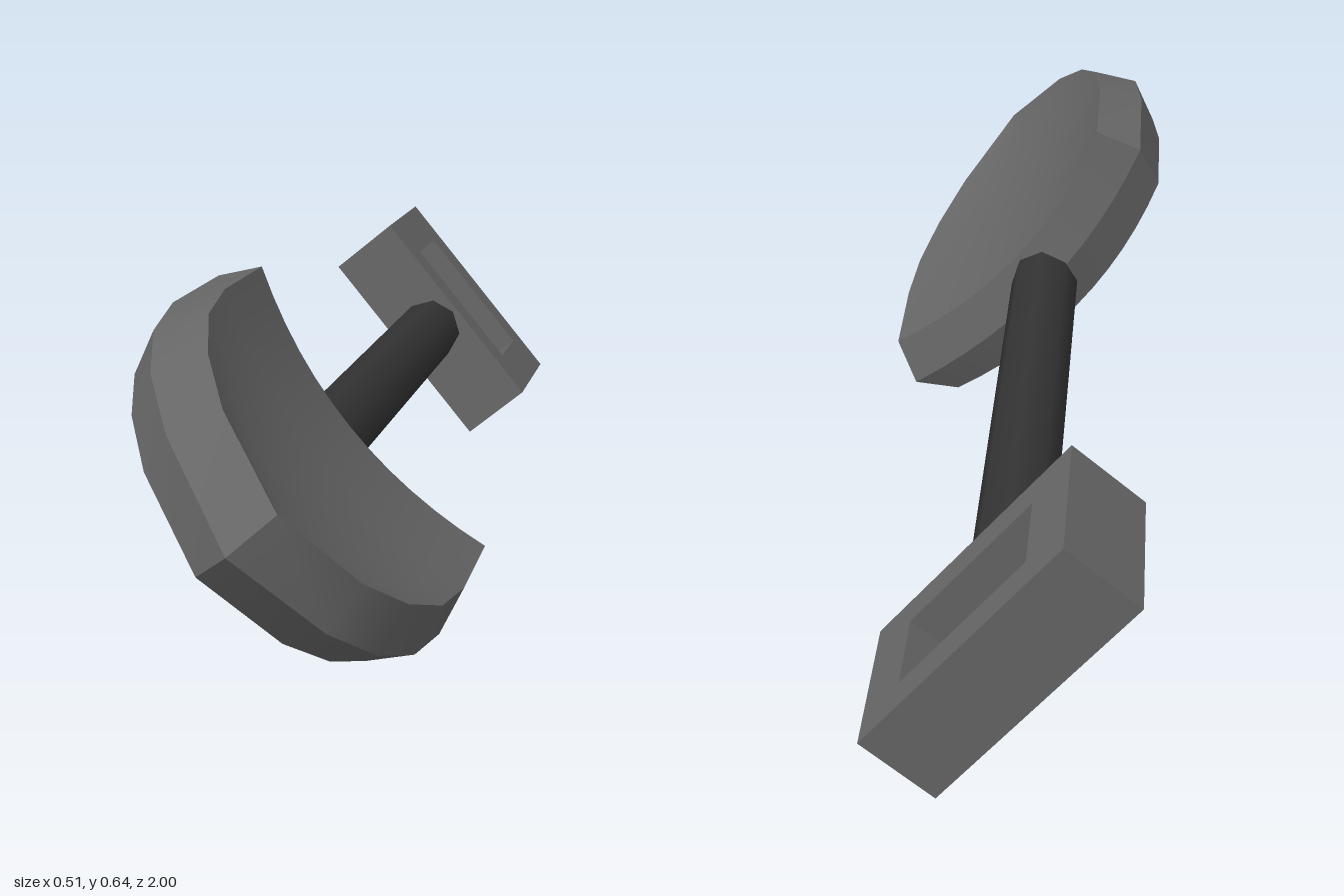
import * as THREE from 'three';
import { mergeGeometries } from 'three/addons/utils/BufferGeometryUtils.js';

// Smooth patch over a grid of points; it faces (row direction) x (column direction).
function patch(rows) {
  const n = rows[0].length, index = [];
  for (let i = 0; i < rows.length - 1; i++) {
    for (let j = 0; j < n - 1; j++) {
      const a = i * n + j, c = a + n;
      index.push(a, c, a + 1, a + 1, c, c + 1);
    }
  }
  const geometry = new THREE.BufferGeometry();
  geometry.setAttribute('position', new THREE.Float32BufferAttribute(rows.flat(2), 3));
  geometry.setIndex(index);
  geometry.computeVertexNormals();
  return geometry;
}

// Dished blade: face and back outlines are inset from a wider middle crease.
function bladeGeometry() {
  const inner = [[0.30, 0.30], [0.52, 0.302], [0.65, 0.284], [0.76, 0.236], [0.855, 0.16], [0.945, 0]];
  const outer = [[0.275, 0.335], [0.53, 0.337], [0.67, 0.317], [0.79, 0.266], [0.89, 0.182], [1.0, 0]];
  const across = Array.from({ length: 13 }, (_, i) => i / 6 - 1);

  // Points across the blade, sagging in the middle; the sag fades towards the tip.
  const section = (outline, height) => outline.map(([z, w], i) => {
    const sag = 0.055 * (1 - (i / (outline.length - 1)) ** 2);
    return across.map(s => [s * w, 0.05 + 0.01 * (z - 0.3) + height - sag * (1 - s * s), z]);
  });
  const face = section(inner, 0.078);
  const middle = section(outer, 0);
  const back = section(inner, -0.078);

  const last = across.length - 1;
  const flip = row => [...row].reverse();
  const strip = (a, b, j) => patch(a.map((row, i) => [row[j], b[i][j]]));
  return mergeGeometries([
    patch(face),
    patch(back.map(flip)),
    strip(face, middle, last), strip(middle, back, last), // left rim
    strip(back, middle, 0), strip(middle, face, 0), // right rim
    patch([flip(face[0]), flip(middle[0])]), // rear edge
    patch([flip(middle[0]), flip(back[0])])
  ]);
}

// Rectangular grip frame with a hand hole through its thickness.
function gripGeometry() {
  const thickness = 0.147;
  const corners = (w, l) => [[-w, -l], [w, -l], [w, l], [-w, l]].map(p => new THREE.Vector2(...p));
  const shape = new THREE.Shape(corners(0.228, 0.139));
  shape.holes.push(new THREE.Path(corners(0.143, 0.077).reverse()));
  return new THREE.ExtrudeGeometry(shape, { depth: thickness, bevelEnabled: false })
    .translate(0, 0, -thickness / 2)
    .rotateX(Math.PI / 2);
}

export function createModel() {
  const metal = new THREE.MeshStandardMaterial({ color: 0x666666 });
  metal.name = 'grey metal';
  const dark = new THREE.MeshStandardMaterial({ color: 0x333333 });
  dark.name = 'dark shaft';

  const shovel = new THREE.Group();
  shovel.name = 'shovel';
  const add = (name, geometry, material) => {
    const mesh = new THREE.Mesh(geometry, material);
    mesh.name = name;
    shovel.add(mesh);
    return mesh;
  };

  add('blade', bladeGeometry(), metal);
  add('grip', gripGeometry(), metal).position.z = -0.85;

  // Eight-sided shaft from the grip into the rear of the blade
  const shaft = new THREE.CylinderGeometry(0.064, 0.064, 1.03, 8).rotateX(Math.PI / 2);
  add('shaft', shaft, dark).position.z = -0.205;

  // Lay the shovel over on its side, with the blade slightly raised
  const along = new THREE.Vector3(0.009, 0.073, 1).normalize();
  const side = new THREE.Vector3(0.759, 0.651, 0).cross(along).normalize();
  const up = along.clone().cross(side);
  shovel.quaternion.setFromRotationMatrix(new THREE.Matrix4().makeBasis(side, up, along));
  shovel.position.set(-0.044, 0.296, 0);

  const model = new THREE.Group();
  model.name = 'model';
  model.add(shovel);
  return model;
}
